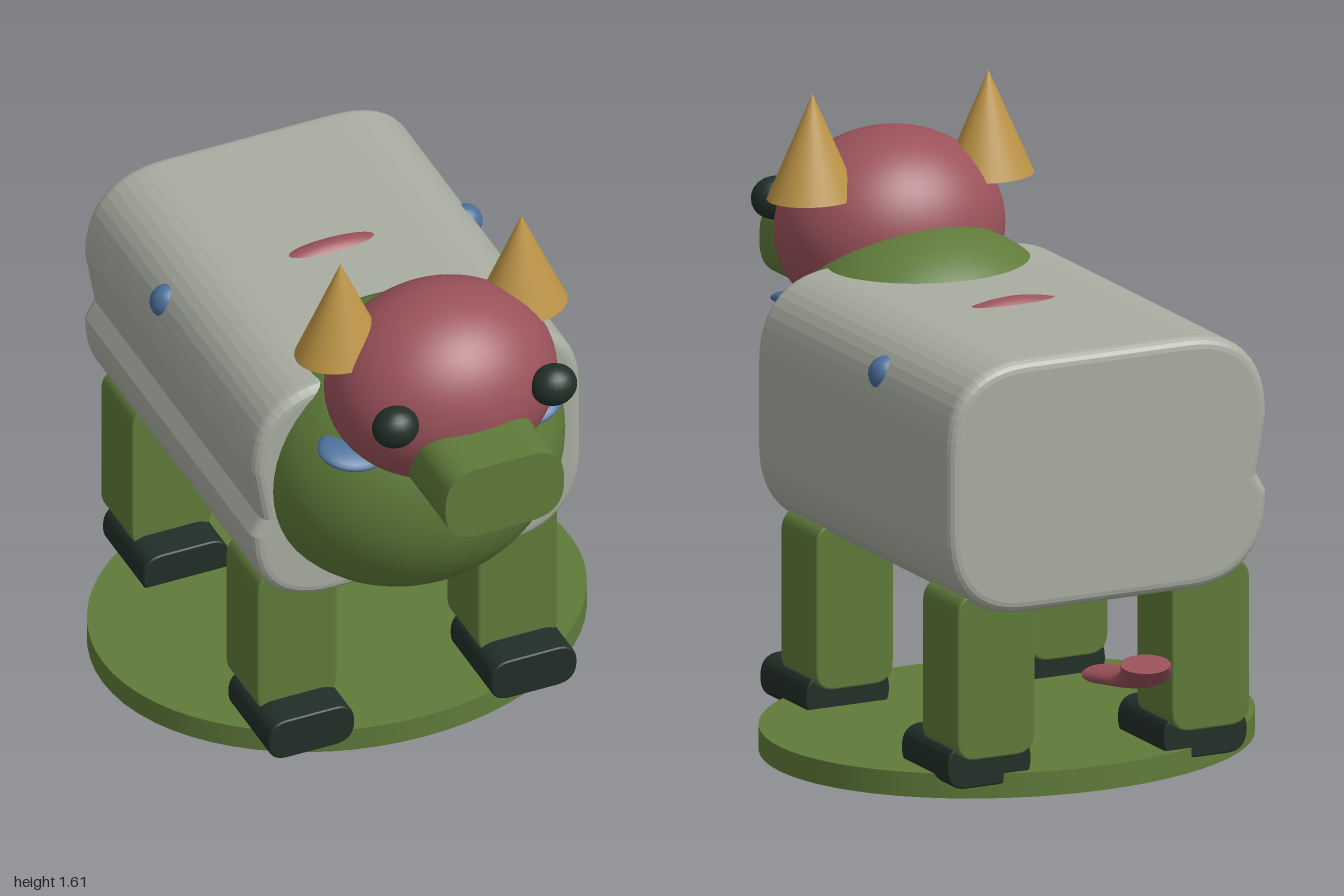
import * as THREE from 'three';

const mat = (name, color, side = THREE.FrontSide) => {
  const m = new THREE.MeshStandardMaterial({ color, side });
  m.name = name;
  return m;
};

export function createModel() {
  const green = mat('moss green', 0x5f7b3a);
  const red = mat('dusty red', 0x9b525a);
  const redOpen = red;
  redOpen.side = THREE.DoubleSide;
  const grey = mat('pale grey', 0xa9ada1);
  const gold = mat('horn gold', 0xbd9445);
  const dark = mat('hoof dark', 0x212e28);
  const blue = mat('spot blue', 0x4b6f9a);

  const model = new THREE.Group();
  model.name = 'hornedAnimal';

  const add = (name, geometry, material, x = 0, y = 0, z = 0) => {
    const mesh = new THREE.Mesh(geometry, material);
    mesh.name = name;
    mesh.position.set(x, y, z);
    model.add(mesh);
    return mesh;
  };
  const ellipsoid = (rx, ry, rz, seg = 40) =>
    new THREE.SphereGeometry(1, seg, seg / 2).scale(rx, ry, rz);

  // Rounded rectangle, centred, with an optional shallow fold on its -x side
  const roundedRect = (w, h, r, fold = 0) => {
    const x = w / 2, y = h / 2, s = new THREE.Shape();
    s.moveTo(-x + r, -y);
    s.lineTo(x - r, -y);
    s.quadraticCurveTo(x, -y, x, -y + r);
    s.lineTo(x, y - r);
    s.quadraticCurveTo(x, y, x - r, y);
    s.lineTo(-x + r, y);
    s.quadraticCurveTo(-x, y, -x, y - r);
    if (fold) s.lineTo(-x + fold, -y + r + 0.05);
    s.lineTo(-x, -y + r);
    s.quadraticCurveTo(-x, -y, -x + r, -y);
    return s;
  };
  // Block with its section in x/y and given z range
  const block = (w, h, r, z0, z1, bevel = 0, fold = 0) =>
    new THREE.ExtrudeGeometry(roundedRect(w - 2 * bevel, h - 2 * bevel, r, fold), {
      depth: z1 - z0 - 2 * bevel, bevelEnabled: bevel > 0, bevelSize: bevel,
      bevelThickness: bevel, bevelSegments: 4, curveSegments: 12,
    }).translate(0, 0, z0 + bevel);

  // Oval base
  add('base', new THREE.CylinderGeometry(1, 1, 0.065, 64).scale(0.657, 1, 0.55), green, 0, 0.0325, -0.045);

  // Trunk, chest and head
  add('body', block(0.925, 0.67, 0.2, -0.61, 0.46, 0.03, 0.028), grey, 0, 0.835, 0);
  add('chest', ellipsoid(0.416, 0.39, 0.357, 56), green, 0, 0.873, 0.388);
  add('head', ellipsoid(0.307, 0.26, 0.256, 56), red, 0, 1.21, 0.6);
  add('muzzle', block(0.332, 0.21, 0.095, 0.7, 1), green, 0, 1.103, 0);

  // Patch showing at the back and the belly
  add('bodyPatch', ellipsoid(0.41, 0.35, 0.11, 64), red, 0, 0.835, -0.08);

  for (const s of [-1, 1]) {
    const side = s > 0 ? 'left' : 'right';
    // Face details
    add(side + 'Horn', new THREE.ConeGeometry(1, 0.275, 40).scale(0.122, 1, 0.1), gold, s * 0.254, 1.4675, 0.54);
    add(side + 'Eye', ellipsoid(0.062, 0.056, 0.053, 24), dark, s * 0.222, 1.26, 0.812);
    const cheek = add(side + 'Cheek', ellipsoid(0.1, 0.023, 0.077, 24), blue, s * 0.24, 1.05, 0.595);
    cheek.rotation.set(0.25, 0, s * 0.12);
    // Spot on the flank
    add(side + 'Spot', ellipsoid(0.046, 0.047, 0.042, 24), blue, s * 0.418, 1.055, -0.175);
    // Legs with hooves
    for (const [pos, legZ, hoofZ] of [['Front', 0.2, 0.235], ['Back', -0.58, -0.545]]) {
      add(side + pos + 'Leg', block(0.224, 0.44, 0.05, legZ, legZ + 0.195, 0.006), green, s * 0.31, 0.34, 0);
      add(side + pos + 'Hoof', block(0.242, 0.118, 0.05, hoofZ, hoofZ + 0.255, 0.006), dark, s * 0.312, 0.096, 0);
    }
  }

  // Flattened tail: a round tube squashed in height
  const flat = 0.32;
  const path = new THREE.CatmullRomCurve3([
    [0, 0.305, -0.585], [0, 0.335, -0.76], [0.025, 0.372, -0.855], [0.075, 0.428, -0.955],
  ].map(([x, y, z]) => new THREE.Vector3(x, y / flat, z)));
  add('tail', new THREE.TubeGeometry(path, 32, 0.065, 20).scale(1, flat, 1), redOpen);
  // Tail end caps
  for (const t of [0, 1]) {
    const p = path.getPointAt(t), cap = new THREE.CircleGeometry(0.065, 20);
    const q = new THREE.Quaternion().setFromUnitVectors(new THREE.Vector3(0, 0, 1), path.getTangentAt(t));
    cap.applyQuaternion(q).translate(p.x, p.y, p.z).scale(1, flat, 1);
    add(t ? 'tailTip' : 'tailRoot', cap, redOpen);
  }
  return model;
}
